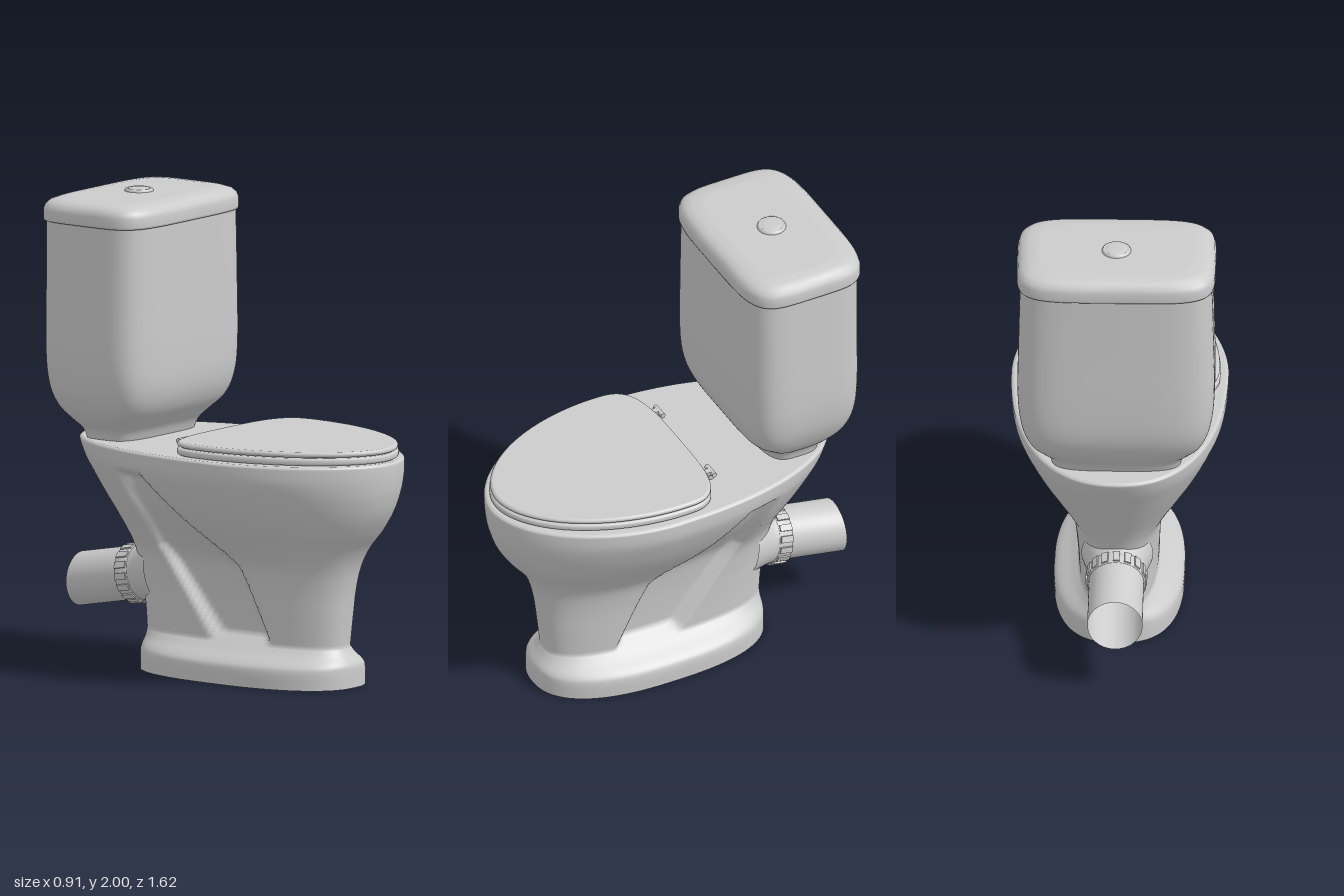
import * as THREE from 'three';

const material = new THREE.MeshStandardMaterial({ color: 0xcccccc, side: THREE.DoubleSide });

function add(parent, name, geometry, x = 0, y = 0, z = 0) {
  const mesh = new THREE.Mesh(geometry, material);
  mesh.name = name;
  mesh.position.set(x, y, z);
  parent.add(mesh);
  return mesh;
}

// Refine rows of numbers with a smooth curve, `steps` per interval
function refine(rows, steps) {
  const curve = new THREE.CubicInterpolant(rows.map((_, i) => i), rows.flat(), rows[0].length, new Array(rows[0].length));
  const out = [];
  for (let i = 0; i <= (rows.length - 1) * steps; i++) out.push([...curve.evaluate(i / steps)]);
  return out;
}

// Stack of superellipse rings; row = [y, halfWidth, zFront, zBack, zWidest, frontPower, backPower]
function loft(rows, segments, { top = false, bottom = false, warp = null } = {}) {
  const pos = [], index = [];
  const power = (v, p) => Math.sign(v) * Math.abs(v) ** (2 / p);
  for (const [y, w, zf, zb, zc, pf, pb] of rows) {
    for (let j = 0; j < segments; j++) {
      const a = (j / segments) * Math.PI * 2, c = Math.cos(a), s = Math.sin(a);
      const p = s >= 0 ? pf : pb;
      const v = new THREE.Vector3(w * power(c, p), y, zc + (s >= 0 ? zf - zc : zc - zb) * power(s, p));
      if (warp) warp(v);
      pos.push(v.x, v.y, v.z);
    }
  }
  for (let i = 0; i < rows.length - 1; i++) {
    for (let j = 0; j < segments; j++) {
      const a = i * segments + j, b = i * segments + (j + 1) % segments;
      index.push(a, a + segments, b, b, a + segments, b + segments);
    }
  }
  // Flat caps use their own ring so the edge stays crisp
  const cap = (row, up) => {
    const first = pos.length / 3, start = row * segments * 3;
    pos.push(...pos.slice(start, start + segments * 3));
    pos.push(0, rows[row][0], rows[row][4]);
    for (let j = 0; j < segments; j++) {
      const a = first + j, b = first + (j + 1) % segments;
      index.push(first + segments, ...(up ? [b, a] : [a, b]));
    }
  };
  if (top) cap(rows.length - 1, true);
  if (bottom) cap(0, false);
  const geometry = new THREE.BufferGeometry();
  geometry.setAttribute('position', new THREE.Float32BufferAttribute(pos, 3));
  geometry.setIndex(index);
  geometry.computeVertexNormals();
  return geometry;
}

// Outline of the sunken side panel as [z, y]
const panel = [[0.31, 0.16], [0.0, 0.16], [-0.28, 0.54], [-0.35, 0.89], [-0.2, 0.89], [0.17, 0.5]];

function sinkPanel(v) {
  let inside = false, nearest = Infinity;
  panel.forEach(([z1, y1], i) => {
    const [z2, y2] = panel[(i + 1) % panel.length];
    if ((y1 > v.y) !== (y2 > v.y) && v.z < z1 + (z2 - z1) * (v.y - y1) / (y2 - y1)) inside = !inside;
    const dz = z2 - z1, dy = y2 - y1;
    const t = THREE.MathUtils.clamp(((v.z - z1) * dz + (v.y - y1) * dy) / (dz * dz + dy * dy), 0, 1);
    nearest = Math.min(nearest, Math.hypot(v.z - z1 - dz * t, v.y - y1 - dy * t));
  });
  if (inside) v.x -= Math.sign(v.x) * Math.min(0.05, Math.abs(v.x) * 0.4) * THREE.MathUtils.smoothstep(nearest, 0, 0.045);
}

function createBowl(group) {
  const foot = [
    [0, 0.272, 0.61, -0.44, 0.09, 2.4, 2.6],
    [0.07, 0.272, 0.61, -0.44, 0.09, 2.4, 2.6],
    [0.1, 0.255, 0.605, -0.44, 0.09, 2.4, 2.6],
    [0.135, 0.205, 0.58, -0.437, 0.09, 2.4, 2.6],
    [0.165, 0.168, 0.56, -0.437, 0.09, 2.5, 2.7],
  ];
  const body = [
    [0.165, 0.168, 0.56, -0.437, 0.09, 2.5, 2.7],
    [0.28, 0.175, 0.572, -0.445, 0.1, 2.5, 2.7],
    [0.4, 0.188, 0.588, -0.465, 0.1, 2.4, 2.6],
    [0.5, 0.21, 0.612, -0.495, 0.12, 2.3, 2.5],
    [0.58, 0.262, 0.652, -0.53, 0.13, 2.1, 2.4],
    [0.66, 0.325, 0.715, -0.575, 0.14, 2, 2.3],
    [0.74, 0.378, 0.765, -0.62, 0.15, 1.9, 2.3],
    [0.82, 0.42, 0.793, -0.665, 0.15, 1.87, 2.3],
    [0.89, 0.448, 0.804, -0.705, 0.15, 1.85, 2.3],
    [0.95, 0.453, 0.806, -0.733, 0.15, 1.85, 2.3],
    [0.964, 0.45, 0.802, -0.733, 0.15, 1.85, 2.3],
    [0.97, 0.44, 0.792, -0.725, 0.15, 1.85, 2.3],
  ];
  const rows = [...refine(foot, 4).slice(0, -1), ...refine(body, 9)];
  add(group, 'bowl', loft(rows, 200, { top: true, warp: sinkPanel }));
}

function createSeat(group) {
  // Slab with rounded edges, following the bowl outline
  const slab = (y0, y1, w, r) => {
    const row = (y, d) => [y, w - d, 0.365 + w - d, -0.085 + d, 0.12, 1.87, 3.6];
    return loft([row(y0, r), row(y0 + r * 0.4, r * 0.3), row(y0 + r, 0), row(y1 - r, 0), row(y1 - r * 0.3, r * 0.4), row(y1, r * 1.2)],
      112, { top: true, bottom: true });
  };
  add(group, 'seatRing', slab(0.972, 1.002, 0.42, 0.009));
  add(group, 'seatLid', slab(1.005, 1.028, 0.416, 0.009));
  for (const side of [-1, 1]) {
    const hinge = new THREE.Group();
    hinge.name = 'seatHinge';
    group.add(hinge);
    add(hinge, 'hingePin', new THREE.CylinderGeometry(0.011, 0.011, 0.07, 16).rotateZ(Math.PI / 2), side * 0.23, 1.005, -0.108);
    add(hinge, 'hingeArm', new THREE.BoxGeometry(0.03, 0.016, 0.05), side * 0.235, 1.006, -0.088);
    add(hinge, 'hingePost', new THREE.CylinderGeometry(0.011, 0.014, 0.04, 16), side * 0.23, 0.987, -0.108);
  }
}

function createTank(group) {
  const rows = [
    [0.965, 0.27, -0.38, -0.63],
    [1.01, 0.285, -0.36, -0.65],
    [1.05, 0.325, -0.325, -0.685],
    [1.11, 0.365, -0.275, -0.725],
    [1.2, 0.397, -0.243, -0.756],
    [1.34, 0.411, -0.234, -0.766],
    [1.6, 0.407, -0.234, -0.768],
    [1.9, 0.4, -0.236, -0.77],
  ].map(([y, w, f, b], i) => [y, w, f, b, (f + b) / 2, i < 3 ? 3.8 : 4.8, i < 3 ? 3.8 : 4.8]);
  add(group, 'tank', loft(refine(rows, 5), 128, { bottom: true }));

  // Overhanging lid: inset and height of each ring
  const rings = [[0.012, 1.888], [0.002, 1.891], [0, 1.9], [0, 1.935], [0.006, 1.955], [0.022, 1.972], [0.05, 1.982], [0.09, 1.986]];
  add(group, 'tankLid', loft(rings.map(([d, y]) => [y, 0.414 - d, -0.229 - d, -0.78 + d, -0.505, 4.8, 4.8]), 128, { top: true, bottom: true }));

  // Flush button with raised rim
  const profile = [[0.061, 1.98], [0.061, 1.988], [0.056, 1.996], [0.05, 1.998], [0.046, 1.994], [0.044, 1.998], [0.03, 2], [0, 2]];
  add(group, 'flushButton', new THREE.LatheGeometry(profile.map(([r, y]) => new THREE.Vector2(r, y)), 40), 0, 0, -0.515);
}

function createOutlet(group) {
  // Pipe slopes downward but ends in a vertical cut
  const slope = 0.19, pipe = new THREE.CylinderGeometry(0.115, 0.115, 0.31, 48, 1, true).rotateX(Math.PI / 2);
  pipe.translate(0, 0, -0.655);
  const p = pipe.attributes.position;
  for (let i = 0; i < p.count; i++) p.setY(i, p.getY(i) + 0.32 + slope * (p.getZ(i) + 0.81));
  pipe.computeVertexNormals();
  add(group, 'outletPipe', pipe);

  const joint = new THREE.Group();
  joint.name = 'outletJoint';
  joint.position.set(0, 0.372, -0.52);
  joint.rotation.x = -Math.atan(slope);
  group.add(joint);
  // Neck flares into the bowl
  const neck = [[0.117, -0.02], [0.117, 0.03], [0.122, 0.06], [0.135, 0.1], [0.15, 0.15]];
  add(joint, 'outletNeck', new THREE.LatheGeometry(neck.map(([r, z]) => new THREE.Vector2(r, z)), 48).rotateX(Math.PI / 2));
  // Ribbed collar
  const collar = [[0.11, -0.03], [0.122, -0.03], [0.122, 0.03], [0.11, 0.03]];
  add(joint, 'collar', new THREE.LatheGeometry(collar.map(([r, z]) => new THREE.Vector2(r, z)), 48).rotateX(Math.PI / 2));
  for (let i = 0; i < 16; i++) {
    const a = (i / 16) * Math.PI * 2;
    const rib = add(joint, 'collarRib', new THREE.BoxGeometry(0.012, 0.028, 0.056), 0.122 * Math.cos(a), 0.122 * Math.sin(a), 0);
    rib.rotation.z = a;
  }
}

export function createModel() {
  const group = new THREE.Group();
  group.name = 'toilet';
  createBowl(group);
  createSeat(group);
  createTank(group);
  createOutlet(group);
  return group;
}
